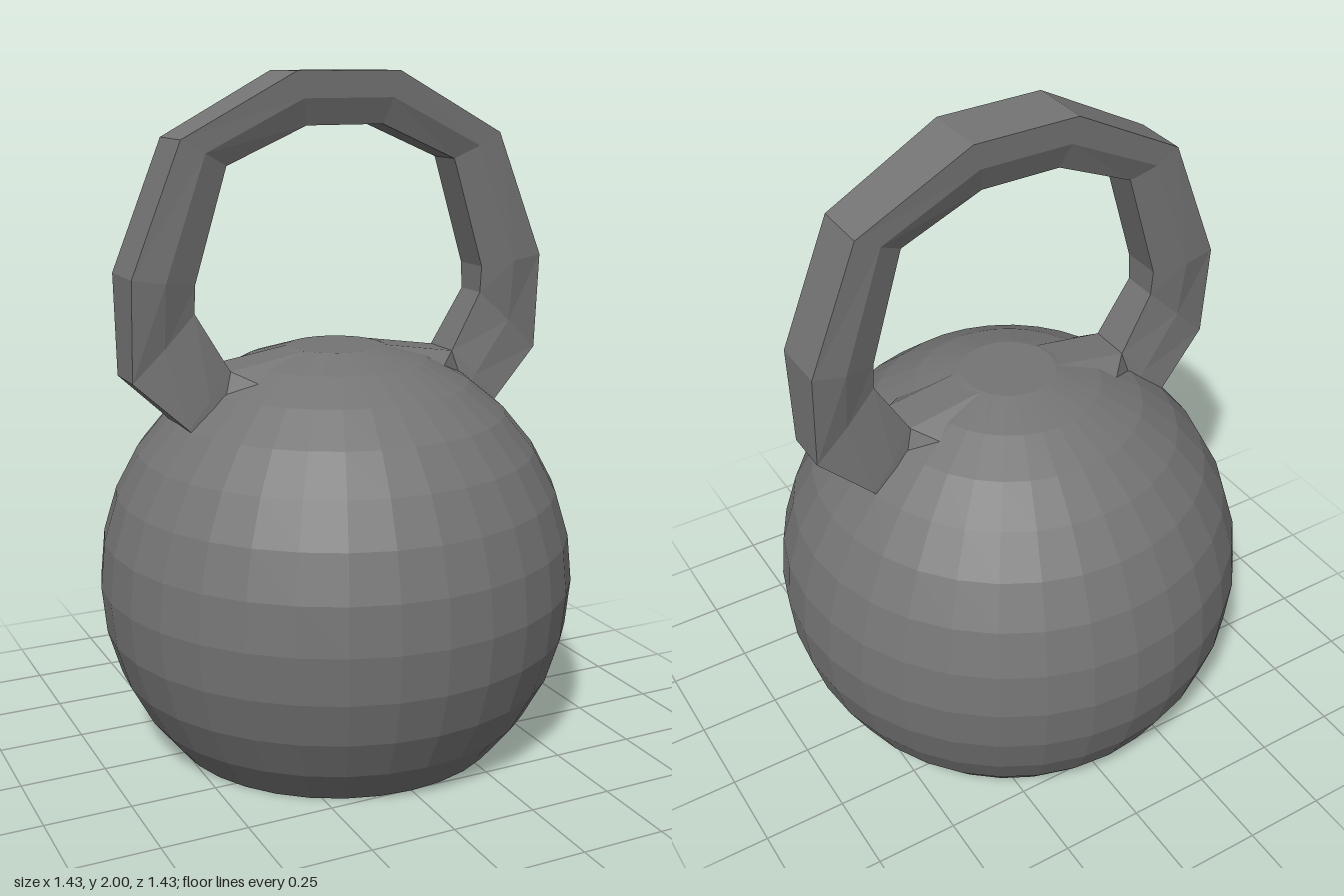
import * as THREE from 'three';
import { ConvexGeometry } from 'three/addons/geometries/ConvexGeometry.js';

const material = new THREE.MeshStandardMaterial({ color: 0x747474, flatShading: true });

function addMesh(group, name, geometry) {
  const mesh = new THREE.Mesh(geometry, material);
  mesh.name = name;
  group.add(mesh);
}

// Ball with its top and bottom cut flat on a ring of facets
function bodyGeometry() {
  const R = 0.714, cy = 0.508;
  const profile = [new THREE.Vector2(0, 0)];
  for (let i = 12; i >= 1; i--) {
    const a = (i * Math.PI) / 16;
    profile.push(new THREE.Vector2(R * Math.sin(a), i === 12 ? 0 : cy + R * Math.cos(a)));
  }
  profile.push(new THREE.Vector2(0, cy + R * Math.cos(Math.PI / 16)));
  return new THREE.LatheGeometry(profile, 32);
}

// Six-sided bar lofted through stations:
// outer x, y, inner x, y, then half-widths at the outer face, middle and inner face
function handleGeometry() {
  const half = [
    [0.40, 0.90, 0.28, 1.02, 0.10, 0.09, 0.07],
    [0.50, 1.02, 0.36, 1.17, 0.098, 0.088, 0.065],
    [0.65, 1.16, 0.46, 1.34, 0.068, 0.07, 0.055],
    [0.65, 1.45, 0.46, 1.42, 0.086, 0.094, 0.062],
    [0.50, 1.82, 0.36, 1.745, 0.084, 0.086, 0.06],
    [0.16, 2.00, 0.12, 1.85, 0.095, 0.093, 0.065],
  ];
  const mirrored = half.map(([ox, oy, ix, iy, ...widths]) => [-ox, oy, -ix, iy, ...widths]).reverse();
  const stations = [...half, ...mirrored];
  const positions = [], index = [], sides = 6;
  stations.forEach(([ox, oy, ix, iy, w, m, n], s) => {
    const mx = (ox + ix) / 2, my = (oy + iy) / 2;
    positions.push(ox, oy, w, mx, my, m, ix, iy, n, ix, iy, -n, mx, my, -m, ox, oy, -w);
    if (s === stations.length - 1) return;
    for (let k = 0; k < sides; k++) {
      const a = s * sides + k, b = s * sides + ((k + 1) % sides);
      index.push(a, a + sides, b, b, a + sides, b + sides);
    }
  });
  const geometry = new THREE.BufferGeometry();
  geometry.setAttribute('position', new THREE.Float32BufferAttribute(positions, 3));
  geometry.setIndex(index);
  geometry.computeVertexNormals();
  return geometry;
}

// Low web that blends a handle foot into the top of the ball
function webGeometry(side) {
  const points = [new THREE.Vector3(side * 0.2, 1.0, 0)];
  for (const z of [-1, 1]) {
    points.push(
      new THREE.Vector3(side * 0.13, 1.207, z * 0.06),
      new THREE.Vector3(side * 0.36, 1.17, z * 0.064),
      new THREE.Vector3(side * 0.39, 1.1, z * 0.07),
      new THREE.Vector3(side * 0.29, 1.135, z * 0.135)
    );
  }
  return new ConvexGeometry(points);
}

export function createModel() {
  const group = new THREE.Group();
  group.name = 'kettlebell';
  addMesh(group, 'body', bodyGeometry());
  addMesh(group, 'handle', handleGeometry());
  addMesh(group, 'leftHandleWeb', webGeometry(1));
  addMesh(group, 'rightHandleWeb', webGeometry(-1));
  return group;
}
